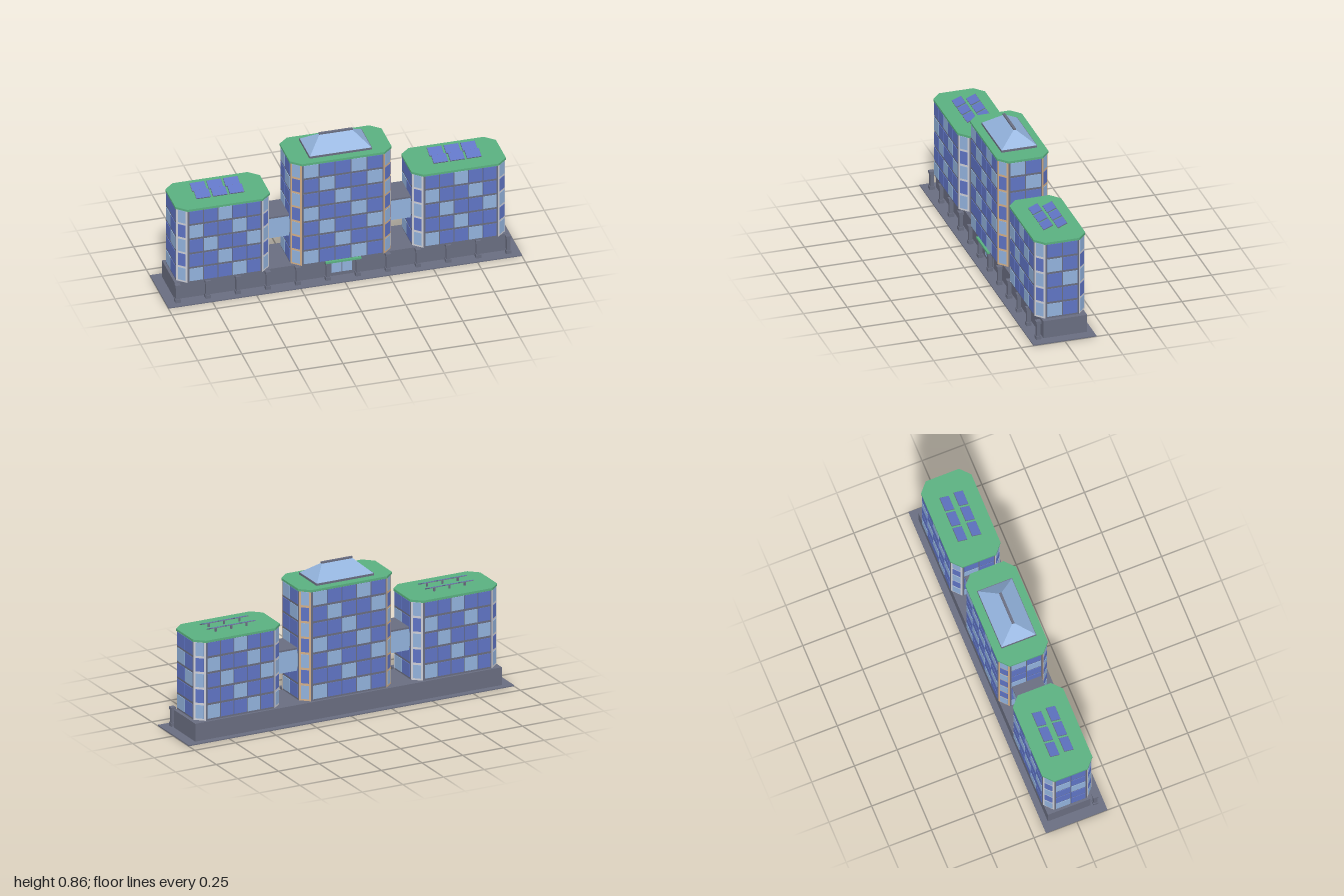
import * as THREE from 'three';

const mat = (name, hex) => {
  const m = new THREE.MeshStandardMaterial({ color: hex });
  m.name = name;
  return m;
};

export function createModel() {
  const stone = mat('slate grey', 0x696d80);
  const blue = mat('blue glass', 0x5f74c4);
  const pale = mat('pale glass', 0x92b2dc);
  const green = mat('green roof', 0x5ab080);
  const tan = mat('tan trim', 0xd4b08a);
  const silver = mat('silver trim', 0xcfd0d8);
  const model = new THREE.Group();
  model.name = 'officeComplex';
  const midZ = -0.0075;

  const add = (parent, name, geometry, material, x = 0, y = 0, z = 0) => {
    const mesh = new THREE.Mesh(geometry, material);
    mesh.name = name;
    mesh.position.set(x, y, z);
    parent.add(mesh);
    return mesh;
  };
  // box given by its minimum and maximum corners
  const block = (parent, name, material, x0, x1, y0, y1, z0, z1) =>
    add(parent, name, new THREE.BoxGeometry(x1 - x0, y1 - y0, z1 - z0), material,
      (x0 + x1) / 2, (y0 + y1) / 2, (z0 + z1) / 2);

  // octagon in plan, starting with the front edge and going round to the right
  const octagon = (hx, hz) => {
    const cx = 0.055, cz = 0.05;
    return [
      [-hx + cx, hz], [hx - cx, hz], [hx, hz - cz], [hx, -hz + cz],
      [hx - cx, -hz], [-hx + cx, -hz], [-hx, -hz + cz], [-hx, hz - cz],
    ];
  };
  const prism = (points, height) => {
    const shape = new THREE.Shape(points.map(([x, z]) => new THREE.Vector2(x, -z)));
    return new THREE.ExtrudeGeometry(shape, { depth: height, bevelEnabled: false }).rotateX(-Math.PI / 2);
  };

  const base = 0.117, pitch = 0.0905;

  // tower with glazed sides, trimmed corner bays and a green roof
  function tower(name, x, halfWidth, floors, trim) {
    const g = new THREE.Group();
    g.name = name;
    g.position.set(x, 0, midZ);
    model.add(g);
    const height = floors * pitch;
    const plan = octagon(halfWidth - 0.004, 0.1435);
    add(g, 'towerBody', prism(plan, height), stone, 0, base, 0);
    add(g, 'towerRoof', prism(octagon(halfWidth, 0.1475), 0.013), green, 0, base + height, 0);

    plan.forEach((p, side) => {
      const q = plan[(side + 1) % 8];
      const length = Math.hypot(q[0] - p[0], q[1] - p[1]);
      const wall = new THREE.Group();
      wall.name = 'wall';
      wall.position.set((p[0] + q[0]) / 2, base, (p[1] + q[1]) / 2);
      wall.rotation.y = Math.atan2(p[1] - q[1], q[0] - p[0]);
      g.add(wall);
      const corner = side % 2 === 1;
      const columns = corner ? 1 : side % 4 === 0 ? 5 : 2;
      const step = (length - 0.008) / columns;
      if (corner) {
        block(wall, 'cornerTrim', trim, -length / 2 + 0.003, length / 2 - 0.003, 0, height, -0.002, 0.002);
      }
      const width = corner ? 0.046 : step - 0.006;
      const pane = new THREE.BoxGeometry(width, 0.077, 0.006);
      for (let r = 0; r < floors; r++) {
        for (let c = 0; c < columns; c++) {
          const light = corner ? r % 2 === 0 : (r + c) % 3 === 0;
          add(wall, 'window', pane, light ? pale : blue,
            (c - (columns - 1) / 2) * step, r * pitch + 0.0495, corner ? 0.001 : 0);
        }
      }
    });
    return g;
  }

  // ground slab and podium
  block(model, 'groundSlab', stone, -1, 1, 0, 0.006, -0.18, 0.18);
  block(model, 'podium', stone, -0.942, 0.942, 0.006, 0.109, -0.146, 0.104);

  // front colonnade
  for (let i = 0; i < 12; i++) {
    const x = -0.935 + i * 0.17, z = 0.1325;
    const pillar = new THREE.Group();
    pillar.name = 'column';
    model.add(pillar);
    block(pillar, 'columnBase', stone, x - 0.0145, x + 0.0145, 0.006, 0.026, z - 0.0145, z + 0.0145);
    block(pillar, 'columnShaft', stone, x - 0.0105, x + 0.0105, 0.026, 0.1, z - 0.0105, z + 0.0105);
    block(pillar, 'columnCap', stone, x - 0.0145, x + 0.0145, 0.1, 0.116, z - 0.0145, z + 0.0145);
  }

  // entrance
  block(model, 'doorFrame', stone, -0.075, 0.075, 0.016, 0.112, 0.1, 0.112);
  for (const s of [-1, 1]) {
    add(model, 'doorPane', new THREE.BoxGeometry(0.055, 0.072, 0.006), pale, s * 0.03, 0.068, 0.111);
  }
  block(model, 'entranceCanopy', green, -0.1, 0.1, 0.114, 0.125, 0.12, 0.15);

  // towers
  tower('leftTower', 0.6675, 0.2675, 5, silver);
  tower('rightTower', -0.6675, 0.2675, 5, silver);
  tower('mainTower', 0, 0.288, 7, tan);

  // glass bridges between the towers
  for (const s of [-1, 1]) {
    const x0 = s > 0 ? 0.28 : -0.41, x1 = x0 + 0.13;
    block(model, 'bridgeGlass', pale, x0, x1, 0.284, 0.409, midZ - 0.08, midZ + 0.08);
    block(model, 'bridgeRoof', stone, x0, x1, 0.409, 0.419, midZ - 0.085, midZ + 0.085);
  }

  // hipped skylight on the main tower
  const roofY = base + 7 * pitch + 0.013;
  block(model, 'skylightCurb', stone, -0.177, 0.177, roofY, roofY + 0.012, midZ - 0.102, midZ + 0.102);
  const hip = new THREE.BoxGeometry(0.348, 0.073, 0.2);
  const pos = hip.attributes.position;
  for (let i = 0; i < pos.count; i++) {
    if (pos.getY(i) > 0) pos.setXYZ(i, pos.getX(i) * 0.53, pos.getY(i), pos.getZ(i) * 0.04);
  }
  hip.computeVertexNormals();
  add(model, 'skylightGlass', hip, pale, 0, roofY + 0.0485, midZ);
  block(model, 'skylightRidge', stone, -0.095, 0.095, roofY + 0.083, roofY + 0.092, midZ - 0.007, midZ + 0.007);

  // solar panels on the side towers
  const deckY = base + 5 * pitch + 0.013;
  for (const s of [-1, 1]) {
    for (let i = -1; i <= 1; i++) {
      for (const z of [0.032, -0.05]) {
        const x = s * 0.671 + i * 0.0945;
        block(model, 'panelPost', stone, x - 0.005, x + 0.005, deckY, deckY + 0.02, z - 0.004, z + 0.004);
        const panel = new THREE.Group();
        panel.name = 'solarPanel';
        panel.position.set(x, deckY + 0.021, z);
        panel.rotation.x = 0.38;
        model.add(panel);
        add(panel, 'panelFrame', new THREE.BoxGeometry(0.083, 0.004, 0.058), stone);
        add(panel, 'panelCells', new THREE.BoxGeometry(0.08, 0.002, 0.055), blue, 0, 0.0028, 0);
      }
    }
  }
  return model;
}
